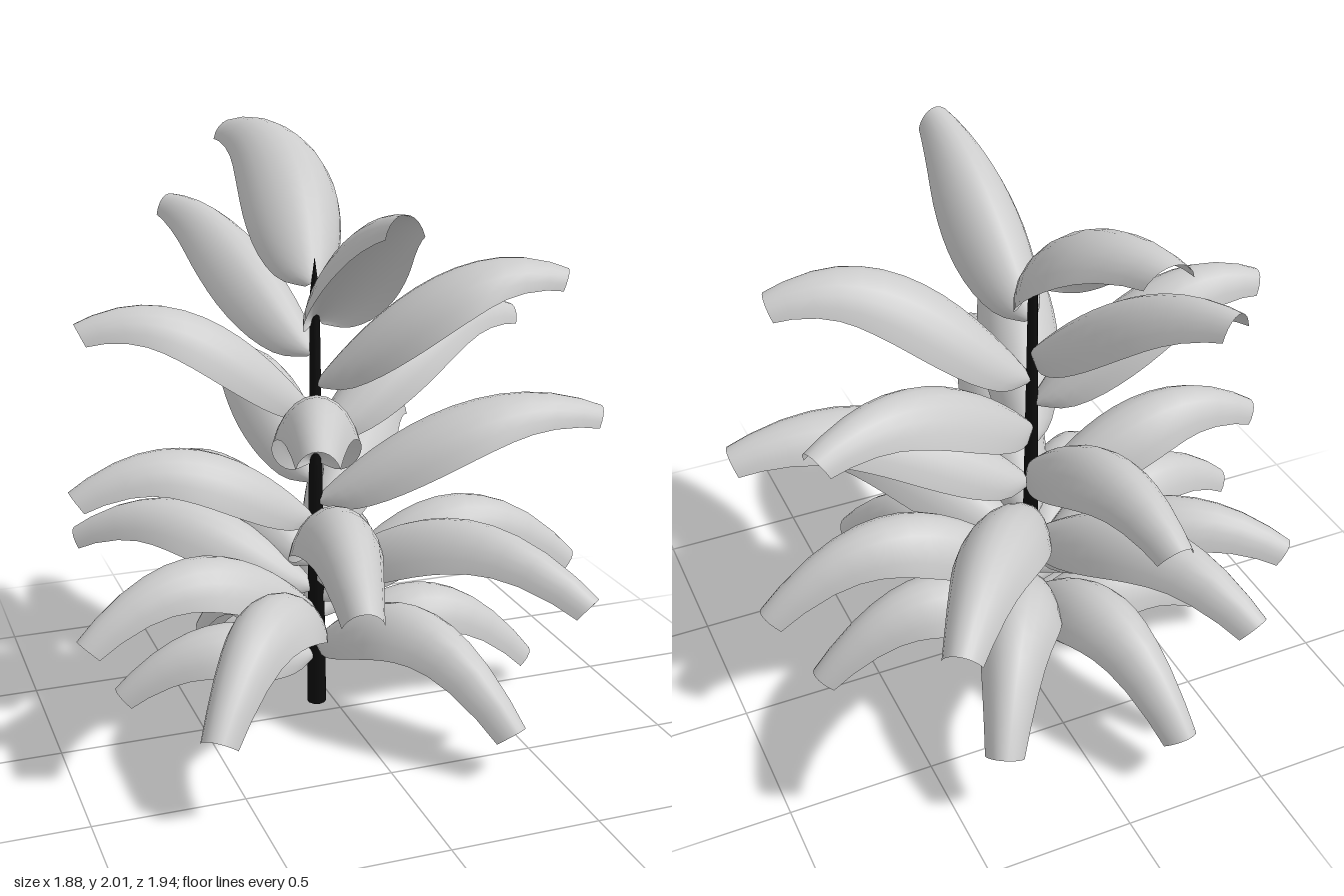
import * as THREE from 'three';

const STEM_X = -0.06, STEM_Z = -0.085;

// Half width of a leaf from narrow stalk to blunt tip
const outline = new THREE.SplineCurve([[0, 0.02], [0.05, 0.08], [0.16, 0.123], [0.32, 0.142],
  [0.52, 0.134], [0.75, 0.103], [1, 0.064]].map(([t, w]) => new THREE.Vector2(t, w)));

// Leaves from top to bottom: mid height, tip height, tip x, tip z, then width scale and sideways bow where special
const LEAVES = [
  [1.93, 1.99, -0.11, -0.86, 1.28, 0.07],
  [1.74, 1.87, -0.02, 0.61],
  [1.64, 1.74, -0.37, -0.80],
  [1.57, 1.57, 0.76, 0.15, 1.12, 0.05],
  [1.45, 1.44, -0.86, -0.15],
  [1.35, 1.33, 0.81, -0.40],
  [1.28, 1.25, -0.36, 0.82],
  [1.15, 1.08, -0.14, -0.97],
  [1.10, 1.06, 0.94, 0.10, 1.12, 0.04],
  [0.99, 0.88, -0.91, -0.12],
  [0.95, 0.86, 0.55, -0.90],
  [0.93, 0.80, -0.27, 0.97],
  [0.81, 0.66, -0.47, -0.95],
  [0.79, 0.61, 0.62, 0.71],
  [0.72, 0.59, -0.82, -0.57],
  [0.73, 0.47, 0.92, -0.04],
  [0.64, 0.43, -0.94, 0.08],
  [0.58, 0.29, 0.38, -0.83],
  [0.57, 0.29, -0.64, 0.63],
  [0.51, 0.22, -0.25, -0.93],
  [0.48, 0.18, 0.38, 0.69],
  [0.41, 0.11, 0.75, -0.02],
  [0.32, 0.11, -0.77, -0.19],
  [0.38, 0.09, -0.33, -0.71, 0.65],
];

// Leaves sit closer together towards the foot of the stem
const baseHeight = (i) => 1.62 * 0.924 ** i - 0.09;

// A leaf is a grid: an arching midrib with a deep, downward-folded cross-section
function leafGeometry(base, [mid, tip, tx, tz, scale = 1, bow = 0]) {
  const rows = 16, cols = 10, fold = 1.25, depthRatio = 1.08;
  const start = new THREE.Vector3(STEM_X, 0, STEM_Z);
  const reach = new THREE.Vector3(tx - STEM_X, 0, tz - STEM_Z);
  const side = new THREE.Vector3(-reach.z, 0, reach.x).normalize();
  const control = 2 * mid - (base + tip) / 2;
  const positions = [], index = [];
  for (let r = 0; r <= rows; r++) {
    const { x: t, y: halfWidth } = outline.getPoint(r / rows);
    const u = 1 - t;
    const p = start.clone().addScaledVector(reach, t).addScaledVector(side, bow * Math.sin(Math.PI * t));
    p.y = u * u * base + 2 * u * t * control + t * t * tip;
    const tangent = reach.clone().setY(2 * u * (control - base) + 2 * t * (tip - control)).normalize();
    const up = new THREE.Vector3().crossVectors(side, tangent);
    const width = halfWidth * scale, depth = halfWidth * depthRatio;
    for (let c = 0; c <= cols; c++) {
      const a = fold * (2 * c / cols - 1);
      const v = p.clone().addScaledVector(side, width * Math.sin(a) / Math.sin(fold))
        .addScaledVector(up, -depth * (1 - Math.cos(a)) / (1 - Math.cos(fold)));
      positions.push(v.x, v.y, v.z);
      if (r < rows && c < cols) {
        const i = r * (cols + 1) + c, j = i + cols + 1;
        index.push(i, i + 1, j, i + 1, j + 1, j);
      }
    }
  }
  const geometry = new THREE.BufferGeometry();
  geometry.setAttribute('position', new THREE.Float32BufferAttribute(positions, 3));
  geometry.setIndex(index);
  geometry.computeVertexNormals();
  return geometry;
}

export function createModel() {
  const model = new THREE.Group();
  model.name = 'leafyPlant';

  // Tapering dark stem ending in a pointed shoot
  const profile = [[0, 0], [0.034, 0], [0.023, 0.9], [0.016, 1.5], [0, 1.62]];
  const stem = new THREE.Mesh(
    new THREE.LatheGeometry(profile.map(([x, y]) => new THREE.Vector2(x, y)), 10),
    new THREE.MeshStandardMaterial({ color: 0x0c0c0c }));
  stem.name = 'stem';
  stem.position.set(STEM_X, 0, STEM_Z);
  model.add(stem);

  // Spiral of arching leaves
  const leaves = new THREE.Group();
  leaves.name = 'leaves';
  const leafMaterial = new THREE.MeshStandardMaterial({ color: 0xcccccc, side: THREE.DoubleSide });
  LEAVES.forEach((spec, i) => {
    const leaf = new THREE.Mesh(leafGeometry(baseHeight(i), spec), leafMaterial);
    leaf.name = `leaf${i + 1}`;
    leaves.add(leaf);
  });
  model.add(leaves);
  return model;
}
